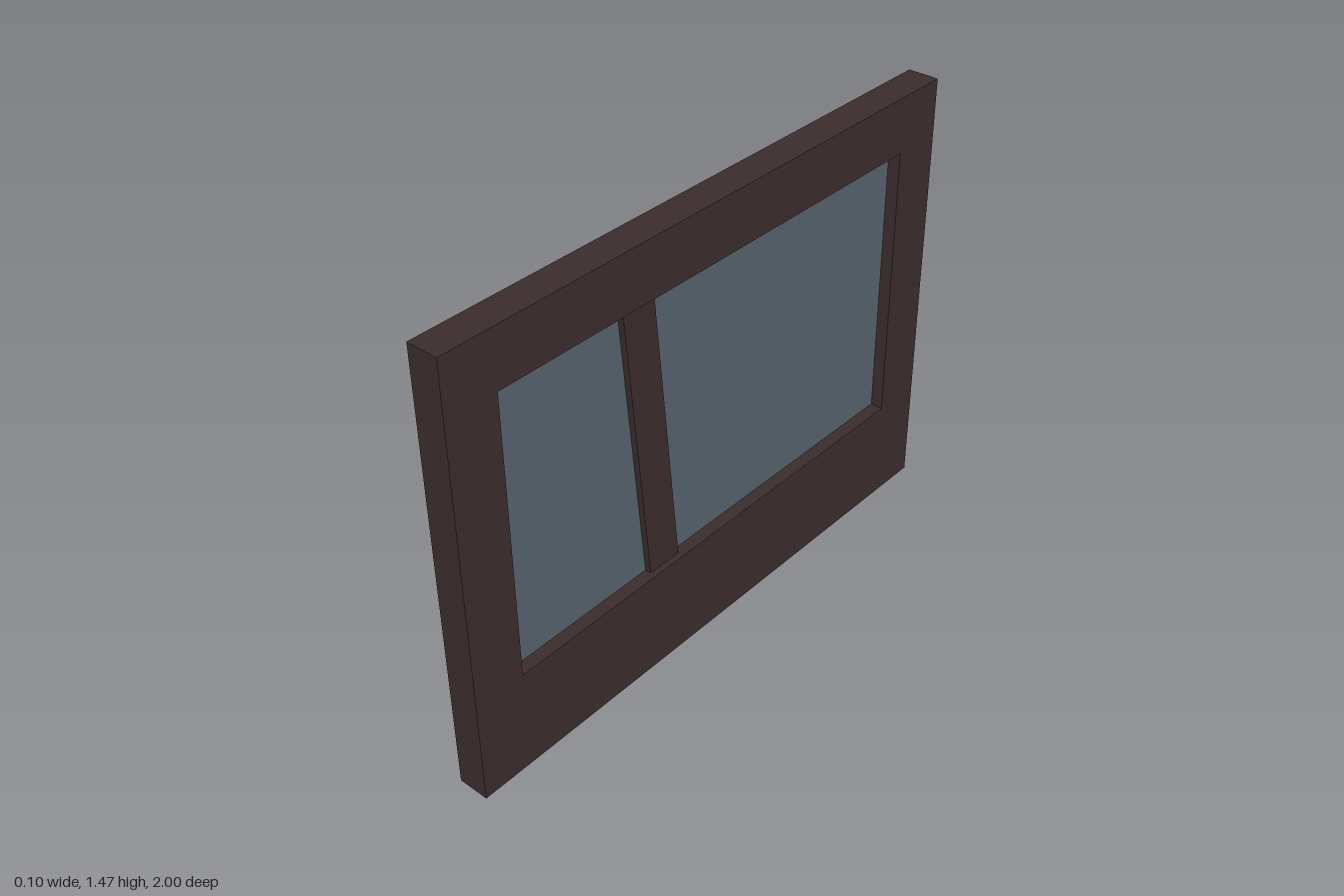
import * as THREE from 'three';

const frameMaterial = new THREE.MeshStandardMaterial({ color: 0x3c2d2e });
frameMaterial.name = 'dark brown frame';
const glassMaterial = new THREE.MeshStandardMaterial({ color: 0x57636e });
glassMaterial.name = 'blue grey glass';

const HEIGHT = 1.466, DEPTH = 0.103;
const OPENING = { z: 0.828, bottom: 0.346, top: 1.282 };

const points = (list) => list.map(([z, y]) => new THREE.Vector2(z, y));
const rectangle = (z, bottom, top) => points([[-z, bottom], [z, bottom], [z, top], [-z, top]]);

// Extrudes an outline drawn in (z, y), centred across x
function slab(name, outline, thickness, material, hole) {
  const shape = new THREE.Shape(outline);
  if (hole) shape.holes.push(new THREE.Path(hole));
  const geometry = new THREE.ExtrudeGeometry(shape, { depth: thickness, bevelEnabled: false });
  geometry.translate(0, 0, -thickness / 2);
  geometry.rotateY(-Math.PI / 2);
  const mesh = new THREE.Mesh(geometry, material);
  mesh.name = name;
  return mesh;
}

export function createModel() {
  const model = new THREE.Group();
  model.name = 'windowPanel';
  const opening = rectangle(OPENING.z, OPENING.bottom, OPENING.top);

  // Solid surround with a deeper bottom rail
  model.add(slab('frame', rectangle(1, 0, HEIGHT), DEPTH, frameMaterial, opening));

  // Pane set in the middle of the frame
  model.add(slab('glass', opening, 0.02, glassMaterial));

  // Slanted divider, slightly recessed from the frame faces
  const divider = points([
    [0.168, OPENING.bottom], [0.289, OPENING.bottom],
    [0.369, OPENING.top], [0.249, OPENING.top],
  ]);
  model.add(slab('divider', divider, 0.062, frameMaterial));

  return model;
}
